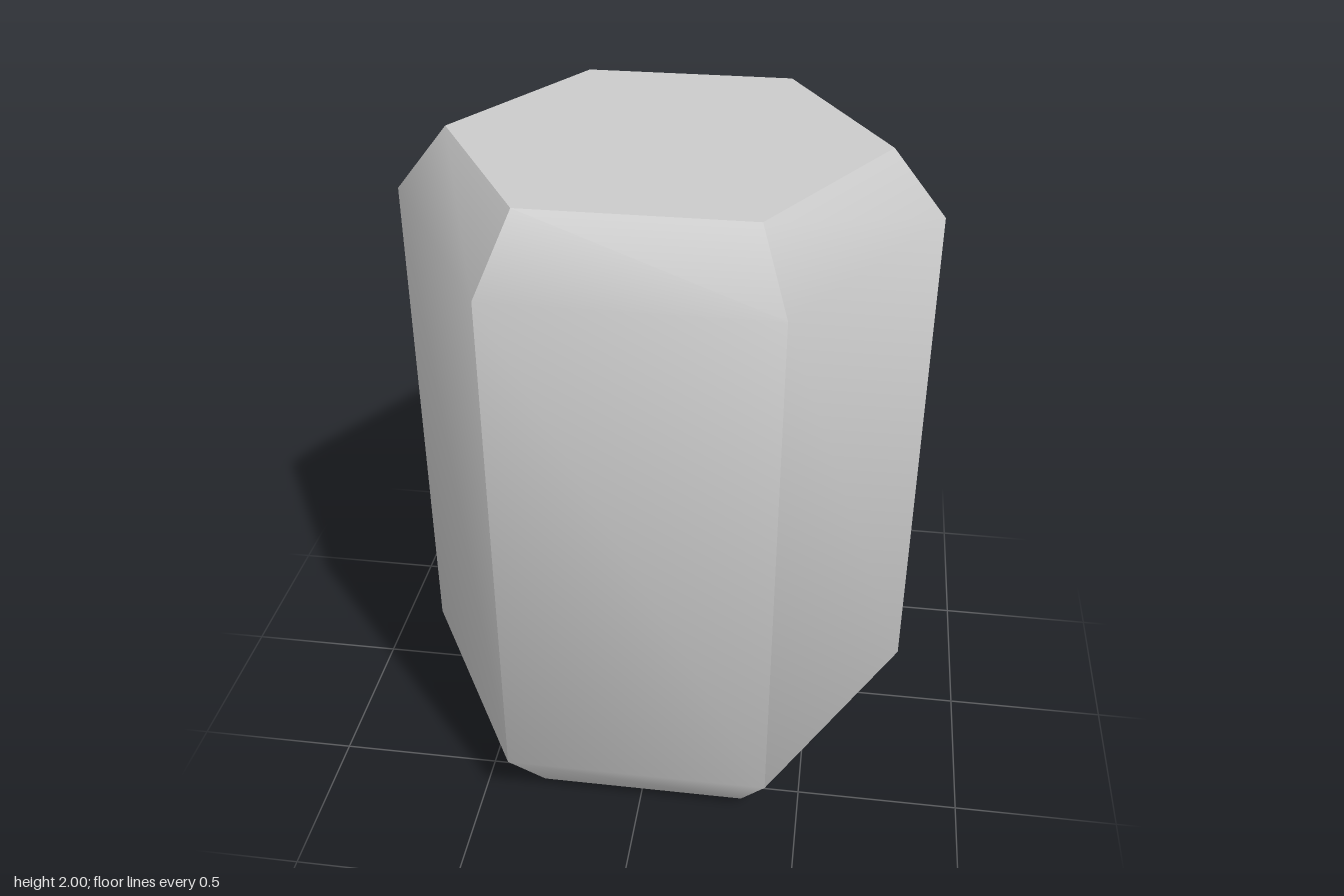
import * as THREE from 'three';
import { toCreasedNormals } from 'three/addons/utils/BufferGeometryUtils.js';

const SIDES = 6;
const CAP_RADIUS = 0.64;  // corner radius of the flat ends
const BODY_RADIUS = 0.8;  // corner radius of the straight sides
const HEIGHT = 2;
const CHAMFER = 0.2;      // height of the sloped band at each end

export function createModel() {
  const group = new THREE.Group();
  group.name = 'hexagonalPrism';

  // Hexagonal outline with corners on the x axis
  const corners = [];
  for (let i = 0; i < SIDES; i++) {
    const a = (i / SIDES) * Math.PI * 2;
    corners.push(new THREE.Vector2(Math.cos(a) * CAP_RADIUS, Math.sin(a) * CAP_RADIUS));
  }

  // Prism with one chamfer at each end, stood upright on the ground
  const prism = new THREE.ExtrudeGeometry(new THREE.Shape(corners), {
    depth: HEIGHT - 2 * CHAMFER,
    steps: 1,
    bevelEnabled: true,
    bevelSegments: 1,
    bevelThickness: CHAMFER,
    bevelSize: (BODY_RADIUS - CAP_RADIUS) * Math.cos(Math.PI / SIDES),
  });
  prism.rotateX(-Math.PI / 2);
  prism.translate(0, CHAMFER, 0);

  // Chamfers blend into the sides; upright edges and cap rims stay sharp
  const geometry = toCreasedNormals(prism, THREE.MathUtils.degToRad(42));
  const body = new THREE.Mesh(geometry, new THREE.MeshStandardMaterial({ color: 0xcccccc }));
  body.name = 'chamferedBody';
  group.add(body);

  return group;
}
